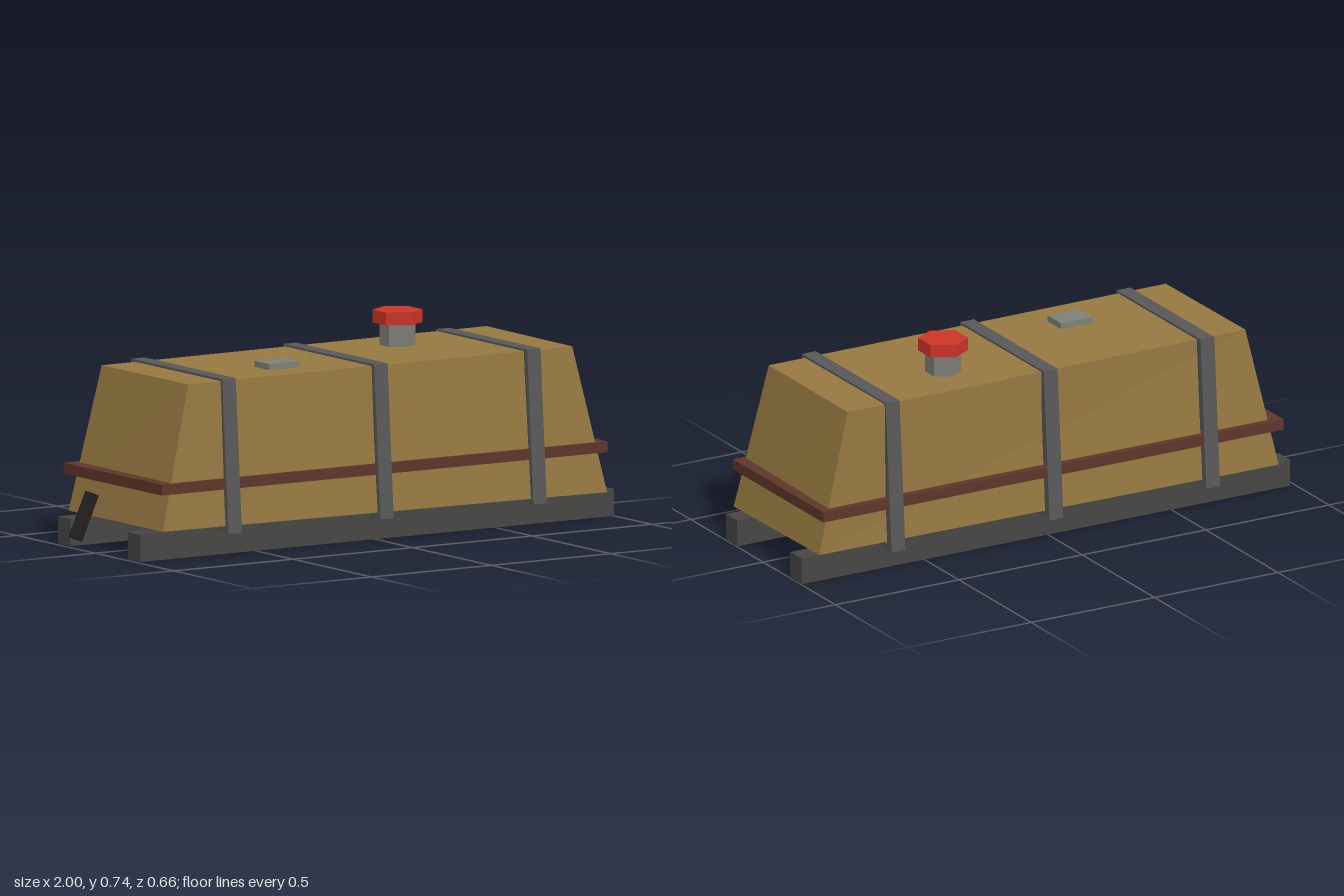
import * as THREE from 'three';

const mat = (color) => new THREE.MeshStandardMaterial({ color, flatShading: true });

export function createModel() {
  const model = new THREE.Group();
  const wood = mat(0x967840), iron = mat(0x585858), rust = mat(0x5e3629);
  const dark = mat(0x464644), red = mat(0xcc3426), steel = mat(0x7e7f78), black = mat(0x221f1d);

  const add = (name, geometry, material, x = 0, y = 0, z = 0) => {
    const mesh = new THREE.Mesh(geometry, material);
    mesh.name = name;
    mesh.position.set(x, y, z);
    model.add(mesh);
    return mesh;
  };

  // Tapered, slightly uneven tank: box corners moved, keyed by the signs of x, y, z
  const corners = {
    '---': [-0.91, 0.105, -0.305], '--+': [-0.92, 0.108, 0.31],
    '+--': [0.945, 0.11, -0.295], '+-+': [0.935, 0.096, 0.315],
    '-+-': [-0.8, 0.615, -0.262], '-++': [-0.795, 0.615, 0.28],
    '++-': [0.825, 0.617, -0.285], '+++': [0.82, 0.615, 0.268],
  };
  const tank = new THREE.BoxGeometry(1, 1, 1);
  const p = tank.attributes.position;
  const sign = (v) => (v < 0 ? '-' : '+');
  for (let i = 0; i < p.count; i++) {
    p.setXYZ(i, ...corners[sign(p.getX(i)) + sign(p.getY(i)) + sign(p.getZ(i))]);
  }
  tank.computeVertexNormals();
  add('tank', tank, wood);

  // Horizontal band around the tank
  add('band', new THREE.BoxGeometry(1.865, 0.038, 0.625), rust, 0.008, 0.255, -0.002);

  // Strap loops hugging the tank
  const loop = (points) => points.map(([z, y]) => new THREE.Vector2(z, y));
  const strapShape = new THREE.Shape(loop([[-0.33, 0.08], [0.33, 0.08], [0.29, 0.623], [-0.29, 0.623]]));
  strapShape.holes.push(new THREE.Path(loop([[-0.3, 0.102], [-0.265, 0.605], [0.265, 0.605], [0.3, 0.102]])));
  const strap = new THREE.ExtrudeGeometry(strapShape, { depth: 0.056, bevelEnabled: false });
  strap.translate(0, 0, -0.028);
  strap.rotateY(Math.PI / 2);
  for (const x of [-0.63, 0.005, 0.645]) add('strap', strap, iron, x);

  // Skids
  for (const z of [-0.223, 0.223]) {
    add('skid', new THREE.BoxGeometry(1.98, 0.096, 0.078), dark, 0.008, 0.048, z);
  }

  // Filler neck and cap
  add('fillerNeck', new THREE.CylinderGeometry(0.063, 0.063, 0.09, 6), steel, 0.327, 0.655, -0.095);
  add('fillerCap', new THREE.CylinderGeometry(0.0875, 0.0875, 0.046, 6), red, 0.327, 0.718, -0.095);

  // Small plate on top
  add('topPlate', new THREE.BoxGeometry(0.13, 0.03, 0.095), steel, -0.31, 0.622, 0.112);

  // Slanted drain pipe at the right end
  const drain = new THREE.CylinderGeometry(0.028, 0.028, 0.17, 6);
  drain.rotateY(Math.PI / 2);
  add('drainPipe', drain, black, -0.942, 0.106, -0.16).rotation.z = -0.42;

  return model;
}
